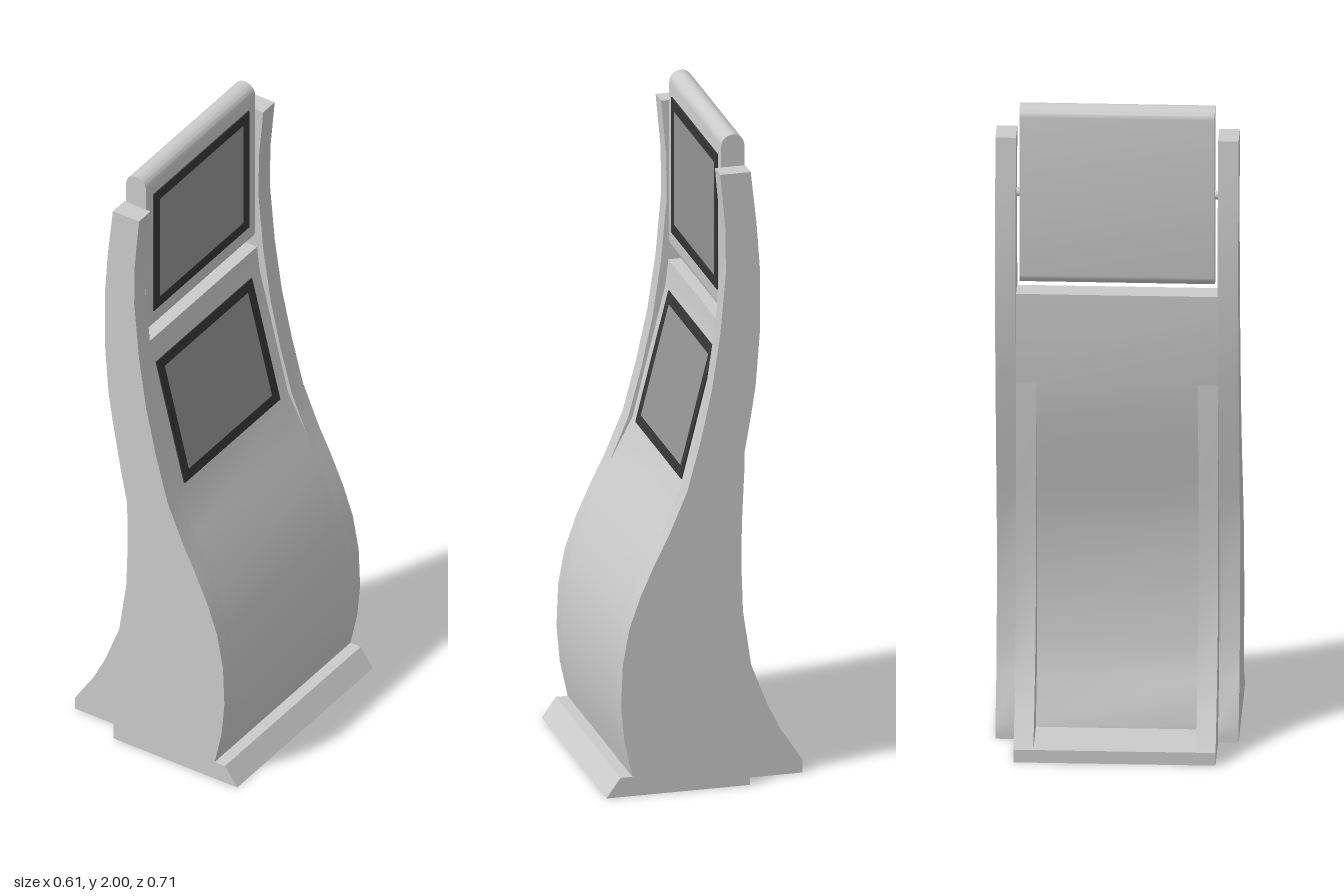
import * as THREE from 'three';
import { toCreasedNormals } from 'three/addons/utils/BufferGeometryUtils.js';

const grey = new THREE.MeshStandardMaterial({ color: 0xcccccc });
const bezelMat = new THREE.MeshStandardMaterial({ color: 0x363636 });
const glassMat = new THREE.MeshStandardMaterial({ color: 0x949494 });

// Side profiles as [x, y], the kiosk faces +x
const lowerFront = [[0.305, 0], [0.262, 0.06], [0.226, 0.06], [0.25, 0.17], [0.26, 0.28], [0.255, 0.41],
  [0.235, 0.52], [0.2, 0.62], [0.155, 0.72], [0.115, 0.8]];
const upperFront = [[0.06, 0.93], [0.02, 1.08], [-0.015, 1.24], [-0.04, 1.41], [-0.057, 1.6], [-0.055, 1.74], [-0.04, 1.905]];
const upperBack = [[-0.132, 1.905], [-0.15, 1.74], [-0.16, 1.6], [-0.16, 1.41], [-0.147, 1.24]];
const lowerBack = [[-0.13, 1.13], [-0.1, 0.96], [-0.06, 0.76], [-0.037, 0.63], [-0.037, 0.41],
  [-0.05, 0.28], [-0.068, 0.18], [-0.13, 0.05], [-0.13, 0]];
const railBack = [[-0.305, 0], [-0.305, 0.04], [-0.24, 0.14], [-0.2, 0.22], [-0.15, 0.35],
  [-0.125, 0.52], [-0.12, 0.67], [-0.122, 0.8], [-0.13, 0.97]];

function add(parent, name, geometry, material = grey) {
  const mesh = new THREE.Mesh(geometry, material);
  mesh.name = name;
  parent.add(mesh);
  return mesh;
}

// Extrudes an x-y outline from z0 to z1, smooth along gentle curves
function slab(outline, z0, z1) {
  const shape = Array.isArray(outline) ? new THREE.Shape(outline.map(p => new THREE.Vector2(...p))) : outline;
  const geometry = new THREE.ExtrudeGeometry(shape, { depth: z1 - z0, bevelEnabled: false, curveSegments: 12 });
  geometry.translate(0, 0, z0);
  return toCreasedNormals(geometry, 0.5);
}

// Framed display whose front looks along +x before tilting
function display(name, x, y, height, glassHeight, tilt) {
  const group = new THREE.Group();
  group.name = name;
  group.position.set(x, y, 0);
  group.rotation.z = tilt;
  const w = 0.25, gw = 0.218, h = height / 2, gh = glassHeight / 2;
  const rect = (T, a, b) => new T([[-a, -b], [a, -b], [a, b], [-a, b]].map(p => new THREE.Vector2(...p)));
  const frame = rect(THREE.Shape, w, h);
  frame.holes.push(rect(THREE.Path, gw, gh));
  const bezel = new THREE.ExtrudeGeometry(frame, { depth: 0.008, bevelEnabled: false });
  bezel.rotateY(Math.PI / 2).translate(-0.004, 0, 0);
  add(group, name + 'Bezel', bezel, bezelMat);
  add(group, name + 'Glass', new THREE.BoxGeometry(0.007, gh * 2, gw * 2), glassMat);
  return group;
}

export function createModel() {
  const kiosk = new THREE.Group();
  kiosk.name = 'kiosk';

  // Curved side panels and the rear rails inside them
  const panel = [...lowerFront, ...upperFront, ...upperBack, ...lowerBack];
  const rail = [...railBack, ...lowerBack];
  for (const [side, s] of [['left', 1], ['right', -1]]) {
    const span = (a, b) => (s > 0 ? [a, b] : [-b, -a]);
    add(kiosk, side + 'SidePanel', slab(panel, ...span(0.295, 0.355)));
    add(kiosk, side + 'RearRail', slab(rail, ...span(0.237, 0.295)));
    // Pivot pin carrying the upper head
    const pin = add(kiosk, side + 'PivotPin', new THREE.CylinderGeometry(0.013, 0.013, 0.03, 16));
    pin.rotation.x = Math.PI / 2;
    pin.position.set(-0.097, 1.72, s * 0.29);
  }

  // Centre body, recessed behind the side panels around the lower display
  const body = [...lowerFront, [0.047, 0.93], [-0.053, 1.33], [-0.062, 1.41], [-0.13, 1.41], ...lowerBack];
  add(kiosk, 'centreBody', slab(body, -0.295, 0.295));

  // Rear floor plate
  add(kiosk, 'rearFloor', slab([[-0.305, 0], [-0.12, 0], [-0.12, 0.04], [-0.305, 0.04]], -0.237, 0.237));

  // Upper head with rounded top and bottom
  const r = 0.035, cx = -0.097, head = new THREE.Shape();
  head.absarc(cx, 2 - r, r, 0, Math.PI, false);
  head.absarc(cx, 1.44 + r, r, Math.PI, Math.PI * 2, false);
  head.closePath();
  add(kiosk, 'upperHead', slab(head, -0.285, 0.285));

  // Displays
  kiosk.add(display('upperDisplay', cx + r, 1.72, 0.42, 0.352, 0));
  kiosk.add(display('lowerDisplay', -0.003, 1.13, 0.41, 0.348, Math.atan2(0.1, 0.4)));
  return kiosk;
}
